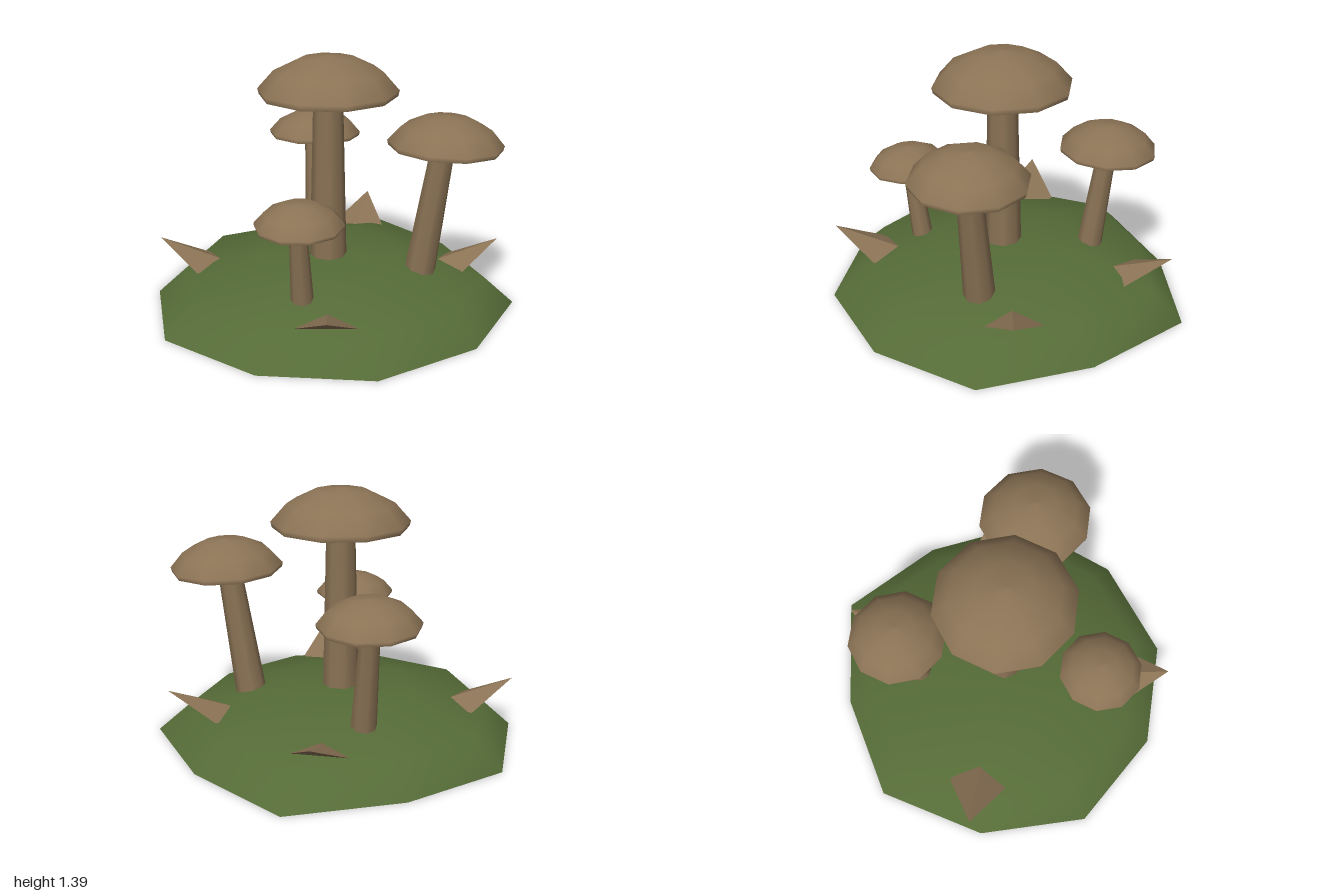
import * as THREE from 'three';

const brown = new THREE.MeshStandardMaterial({ color: 0x8b7355, side: THREE.DoubleSide });
brown.name = 'mushroom brown';
const green = new THREE.MeshStandardMaterial({ color: 0x556b37, side: THREE.DoubleSide });
green.name = 'moss green';

function part(name, geometry, material) {
  const mesh = new THREE.Mesh(geometry, material);
  mesh.name = name;
  return mesh;
}

// Open dome with an irregular ten-sided rim, shrunk ring by ring up to the apex
function moundGeometry() {
  const rim = [[1, 0.02], [0.81, 0.6], [0.32, 0.94], [-0.29, 0.98], [-0.77, 0.6],
    [-1, 0.02], [-0.75, -0.53], [-0.31, -0.99], [0.32, -0.89], [0.86, -0.58]];
  const rings = [[1, 0], [0.84, 0.145], [0.425, 0.25]];
  const n = rim.length, pos = [], index = [];
  for (const [s, y] of rings) for (const [x, z] of rim) pos.push(x * s, y, z * s);
  pos.push(0, 0.275, 0);
  const apex = rings.length * n;
  for (let k = 0; k < rings.length; k++) {
    for (let i = 0; i < n; i++) {
      const a = k * n + i, b = k * n + (i + 1) % n;
      if (k === rings.length - 1) index.push(a, apex, b);
      else index.push(a, a + n, b, b, a + n, b + n);
    }
  }
  const g = new THREE.BufferGeometry();
  g.setAttribute('position', new THREE.Float32BufferAttribute(pos, 3));
  g.setIndex(index);
  g.computeVertexNormals();
  return g;
}

// Three-sided shard pointing outwards along +x
function shardGeometry() {
  const tip = [0.968, 0.31, 0], left = [0.725, 0.165, 0.16];
  const right = [0.725, 0.165, -0.16], inner = [0.5, 0.15, 0];
  const corners = [tip, inner, left, tip, right, inner, tip, left, right, inner, right, left];
  const g = new THREE.BufferGeometry();
  g.setAttribute('position', new THREE.Float32BufferAttribute(corners.flat(), 3));
  g.computeVertexNormals();
  return g;
}

function lathe(points) {
  return new THREE.LatheGeometry(points.map(([x, y]) => new THREE.Vector2(x, y)), 10, Math.PI / 2);
}

// Cap profiles for a unit radius, with the lowest point at y = 0
const capTop = lathe([[0.98, 0.1], [1, 0.18], [0.77, 0.44], [0.4, 0.62], [0, 0.67]]);
const capUnder = lathe([[0, 0.03], [0.5, 0], [0.98, 0.1]]);

function mushroom({ name, base, top, r0, r1, cap, radius, tilt }) {
  const group = new THREE.Group();
  group.name = name;
  const a = new THREE.Vector3(...base), b = new THREE.Vector3(...top);
  const axis = b.clone().sub(a);
  // Hollow tapered stem from base to top
  const stem = part('stem', new THREE.CylinderGeometry(r1, r0, axis.length(), 8, 1, true), brown);
  stem.position.copy(a).add(b).multiplyScalar(0.5);
  stem.quaternion.setFromUnitVectors(new THREE.Vector3(0, 1, 0), axis.normalize());
  // Domed cap with a shallow underside
  const head = new THREE.Group();
  head.name = 'cap';
  head.add(part('capTop', capTop, brown), part('capUnderside', capUnder, brown));
  head.position.set(...cap);
  head.scale.setScalar(radius);
  head.rotation.set(tilt[0], 0, tilt[1]);
  group.add(stem, head);
  return group;
}

export function createModel() {
  const model = new THREE.Group();
  model.name = 'mushroomCluster';
  model.add(part('mound', moundGeometry(), green));

  const mushrooms = [
    { name: 'tallMushroom', base: [0.02, 0.16, 0.03], top: [0.02, 1.18, 0.03],
      r0: 0.105, r1: 0.08, cap: [0.02, 1.14, 0.03], radius: 0.38, tilt: [0, 0] },
    { name: 'leftBackMushroom', base: [0.46, 0.15, -0.22], top: [0.57, 0.93, -0.26],
      r0: 0.088, r1: 0.065, cap: [0.575, 0.893, -0.27], radius: 0.31, tilt: [-0.04, -0.02] },
    { name: 'rightBackMushroom', base: [-0.34, 0.15, -0.3], top: [-0.415, 0.8, -0.355],
      r0: 0.073, r1: 0.053, cap: [-0.41, 0.77, -0.357], radius: 0.27, tilt: [-0.04, 0.02] },
    { name: 'frontMushroom', base: [0.225, 0.15, 0.48], top: [0.25, 0.64, 0.54],
      r0: 0.062, r1: 0.045, cap: [0.255, 0.61, 0.535], radius: 0.23, tilt: [0.03, -0.02] },
  ];
  for (const m of mushrooms) model.add(mushroom(m));

  // Shards around the mound: angle in degrees, outward shift
  const shard = shardGeometry();
  for (const [angle, shift] of [[145.7, 0], [50.7, 0.033], [-44.6, -0.006], [-114.4, -0.035]]) {
    const a = THREE.MathUtils.degToRad(angle);
    const mesh = part('shard', shard, brown);
    mesh.rotation.y = -a;
    mesh.position.set(Math.cos(a) * shift, 0, Math.sin(a) * shift);
    model.add(mesh);
  }
  return model;
}
